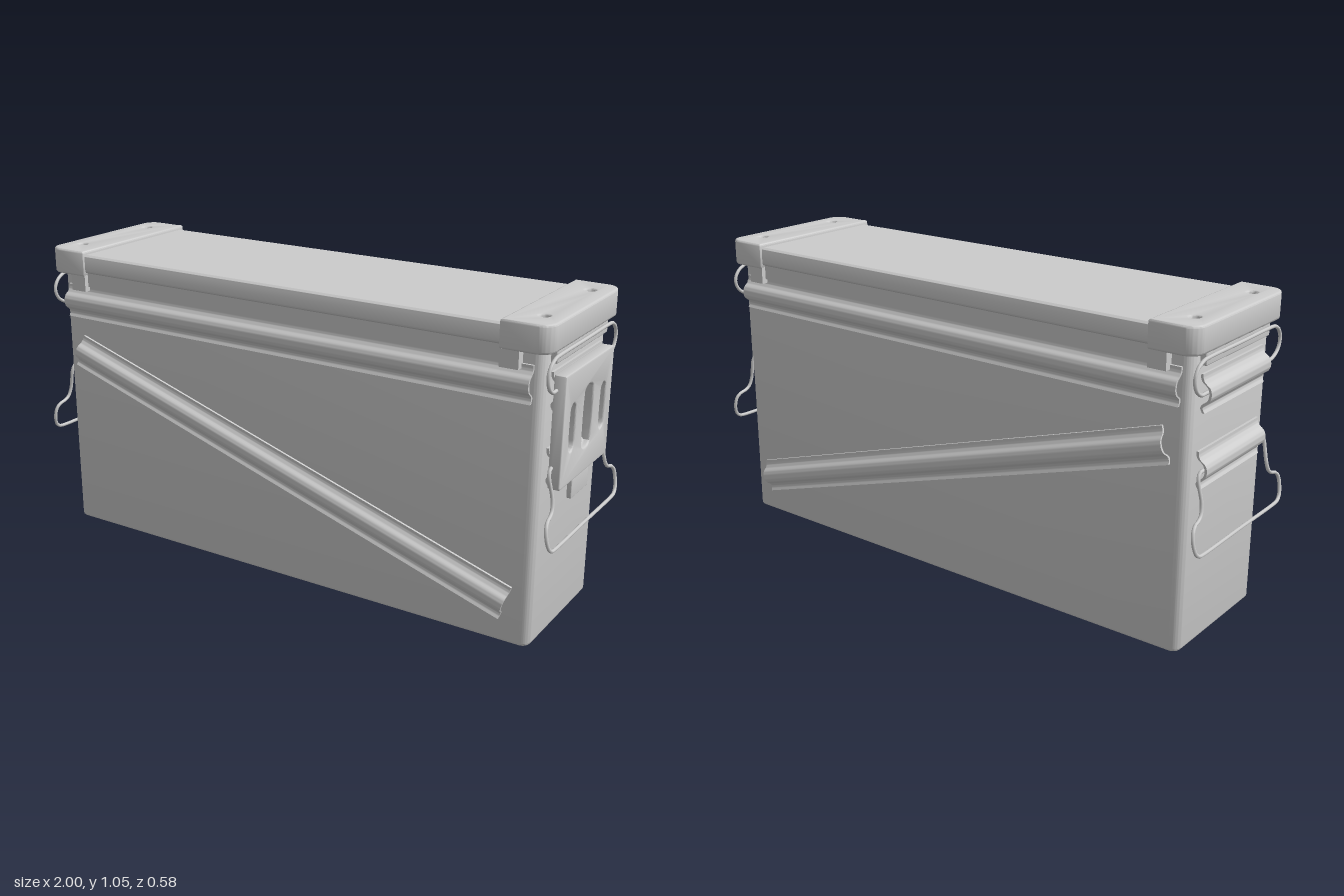
import * as THREE from 'three';
import { toCreasedNormals } from 'three/addons/utils/BufferGeometryUtils.js';

const material = new THREE.MeshStandardMaterial({ color: 0xcccccc });
const sheet = new THREE.MeshStandardMaterial({ color: 0xcccccc, side: THREE.DoubleSide });

function add(parent, name, geometry, x = 0, y = 0, z = 0, mat = material) {
  const mesh = new THREE.Mesh(geometry, mat);
  mesh.name = name;
  mesh.position.set(x, y, z);
  parent.add(mesh);
  return mesh;
}

// Rectangle with separate corner radii on its left and right sides
function roundedRect(x0, y0, x1, y1, rl, rr = rl) {
  const s = new THREE.Shape();
  s.moveTo(x0 + rl, y0);
  s.lineTo(x1 - rr, y0);
  s.absarc(x1 - rr, y0 + rr, rr, -Math.PI / 2, 0, false);
  s.absarc(x1 - rr, y1 - rr, rr, 0, Math.PI / 2, false);
  s.absarc(x0 + rl, y1 - rl, rl, Math.PI / 2, Math.PI, false);
  s.absarc(x0 + rl, y0 + rl, rl, Math.PI, Math.PI * 1.5, false);
  return s;
}

// Extrusion whose bevel stays inside the outline; runs from 0 to depth
function extrude(shape, depth, bevel = 0) {
  const g = new THREE.ExtrudeGeometry(shape, {
    depth: depth - 2 * bevel, curveSegments: 8, bevelEnabled: bevel > 0,
    bevelThickness: bevel, bevelSize: bevel, bevelOffset: -bevel, bevelSegments: 3,
  });
  g.translate(0, 0, bevel);
  return toCreasedNormals(g, 0.7);
}

// Pressed strip with a rounded ridge: faces +x, runs along z
function bead(length) {
  const curve = new THREE.SplineCurve([
    [0.008, 0.059], [0.009, 0.045], [0.016, 0.033], [0.032, 0.02], [0.038, 0],
    [0.032, -0.02], [0.016, -0.033], [0.011, -0.045], [0.018, -0.059],
  ].map(p => new THREE.Vector2(...p)));
  const outer = curve.getPoints(28);
  const inner = outer.map(p => new THREE.Vector2(p.x - 0.008, p.y)).reverse();
  const g = extrude(new THREE.Shape([...outer, ...inner]), length);
  return g.translate(0, 0, -length / 2);
}

// Bent wire, given one half; the other half is mirrored in z
function wire(half, closed) {
  const pts = half.map(p => new THREE.Vector3(...p));
  const other = pts.map(p => new THREE.Vector3(p.x, p.y, -p.z)).reverse();
  const path = new THREE.CatmullRomCurve3([...pts, ...other], closed, 'centripetal');
  return new THREE.TubeGeometry(path, 120, 0.006, 8, closed);
}

function slot(w, y0, y1, x) {
  const r = w * 0.42, h = w / 2, m = (y0 + y1) / 2;
  const p = new THREE.Path();
  p.moveTo(x - r, y0 + 0.015);
  p.quadraticCurveTo(x, y0 - 0.012, x + r, y0 + 0.015);
  p.quadraticCurveTo(x + h * 1.1, m, x + r, y1 - 0.015);
  p.quadraticCurveTo(x, y1 + 0.012, x - r, y1 - 0.015);
  p.quadraticCurveTo(x - h * 1.1, m, x - r, y0 + 0.015);
  return p;
}

export function createModel() {
  const model = new THREE.Group();
  model.name = 'steelBox';

  // Body
  const body = extrude(roundedRect(-0.93, -0.245, 0.93, 0.245, 0.03), 0.97, 0.01);
  add(model, 'body', body.rotateX(-Math.PI / 2));

  // Lid centre: stepped skirt and top panel
  add(model, 'lidSkirt', new THREE.BoxGeometry(1.72, 0.055, 0.52), 0, 0.9475, 0);
  const panel = extrude(roundedRect(-0.272, 0.97, 0.272, 1.036, 0.012), 1.66);
  add(model, 'lidPanel', panel.rotateY(Math.PI / 2), -0.83, 0, 0);

  // Long side strips: a level one and a diagonal brace on each face
  for (const side of [1, -1]) {
    const turn = -side * Math.PI / 2;
    add(model, 'sideStrip', bead(1.8).rotateY(turn), 0, 0.86, side * 0.245, sheet);
    add(model, 'diagonalBrace', bead(1.797).rotateY(turn).rotateZ(-0.302),
      -0.005, 0.408, side * 0.245, sheet);
  }

  // Both ends: lid cap, strips and wire bails
  for (const side of [1, -1]) {
    const end = new THREE.Group();
    end.name = side > 0 ? 'leftEnd' : 'rightEnd';
    end.rotation.y = side > 0 ? 0 : Math.PI;
    model.add(end);

    const capShape = roundedRect(0.8, -0.281, 0.96, 0.281, 0.004, 0.05);
    for (const z of [-0.178, 0.178]) {
      const hole = new THREE.Path();
      hole.absarc(0.893, z, 0.016, 0, Math.PI * 2, true);
      capShape.holes.push(hole);
    }
    add(end, 'lidCap', extrude(capShape, 0.09, 0.008).rotateX(-Math.PI / 2), 0, 0.96, 0);
    add(end, 'capFiller', new THREE.BoxGeometry(0.13, 0.065, 0.5), 0.875, 0.9975, 0);
    add(end, 'capLip', extrude(roundedRect(-0.2, 0.917, 0.2, 0.97, 0.006), 0.03, 0.004)
      .rotateY(Math.PI / 2), 0.92, 0, 0);
    for (const z of [-1, 1]) {
      add(end, 'capTab', new THREE.BoxGeometry(0.062, 0.065, 0.03), 0.832, 0.9375, z * 0.261);
    }

    add(end, 'upperEndStrip', bead(0.38), 0.93, 0.83, 0, sheet);
    add(end, 'lowerEndStrip', bead(0.38), 0.93, 0.592, 0, sheet);

    add(end, 'latchWire', wire([
      [0.95, 0.835, 0], [0.95, 0.835, 0.19], [0.952, 0.838, 0.225], [0.954, 0.86, 0.258],
      [0.954, 0.895, 0.27], [0.954, 0.925, 0.255], [0.955, 0.942, 0.225],
      [0.956, 0.945, 0.2], [0.956, 0.945, 0.02],
    ], true));
    add(end, 'carryWire', wire([
      [0.95, 0.592, 0.02], [0.95, 0.592, 0.185], [0.95, 0.59, 0.202], [0.953, 0.572, 0.212],
      [0.968, 0.5, 0.211], [0.973, 0.468, 0.222], [0.975, 0.456, 0.24], [0.977, 0.45, 0.262],
      [0.981, 0.435, 0.278], [0.986, 0.405, 0.284], [0.992, 0.37, 0.275],
      [0.994, 0.356, 0.258], [0.994, 0.353, 0.24], [0.994, 0.353, 0.02],
    ], true));
  }

  // Slotted cover plate with its pull tab, on one end only
  const plate = roundedRect(-0.192, 0.522, 0.192, 0.882, 0.008);
  plate.holes.push(slot(0.078, 0.6, 0.81, 0));
  for (const z of [-0.121, 0.121]) plate.holes.push(slot(0.046, 0.625, 0.782, z));
  add(model, 'coverPlate', extrude(plate, 0.04, 0.005).rotateY(Math.PI / 2), 0.94, 0, 0);
  const tab = roundedRect(-0.068, 0.451, 0.068, 0.535, 0.005);
  add(model, 'pullTab', extrude(tab, 0.016, 0.003).rotateY(Math.PI / 2), 0.955, 0, 0);

  return model;
}
